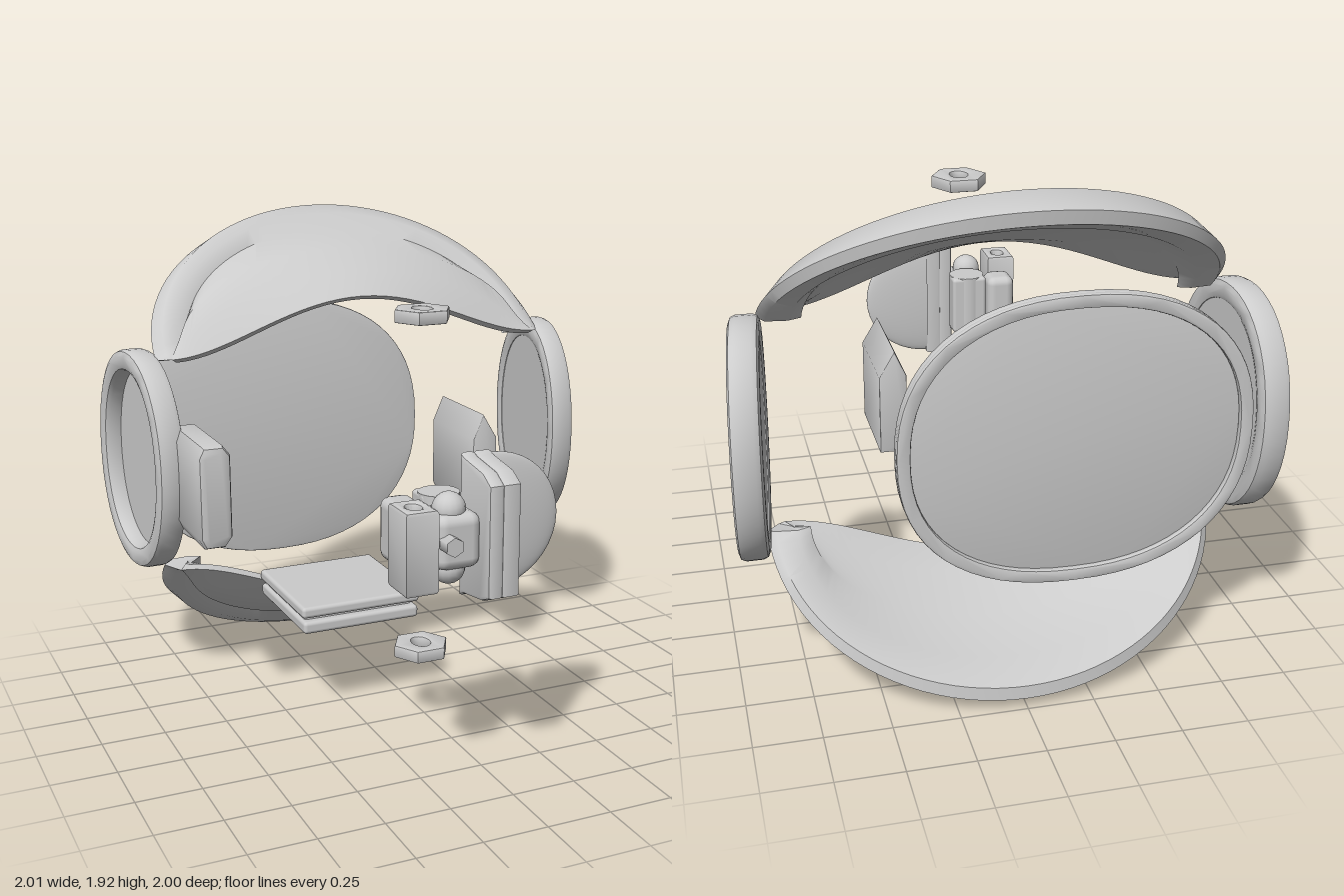
import * as THREE from 'three';
import { toCreasedNormals } from 'three/addons/utils/BufferGeometryUtils.js';
import { RoundedBoxGeometry } from 'three/addons/geometries/RoundedBoxGeometry.js';

const MID = 0.963; // height of the mirror plane between upper and lower shell

export function createModel() {
  const model = new THREE.Group();
  const grey = new THREE.MeshStandardMaterial({ color: 0xcccccc, side: THREE.DoubleSide });

  function add(name, geometry, x = 0, y = 0, z = 0, parent = model) {
    const mesh = new THREE.Mesh(geometry, grey);
    mesh.name = name;
    mesh.position.set(x, y, z);
    parent.add(mesh);
    return mesh;
  }
  const box = (w, h, d, r = 0.015) => new RoundedBoxGeometry(w, h, d, 2, r);

  // Closed superellipse outline
  function oval(rx, ry, n = 2, count = 48) {
    const pts = [];
    for (let i = 0; i < count; i++) {
      const a = (i / count) * Math.PI * 2, c = Math.cos(a), s = Math.sin(a);
      pts.push(new THREE.Vector2(rx * Math.sign(c) * Math.abs(c) ** (2 / n), ry * Math.sign(s) * Math.abs(s) ** (2 / n)));
    }
    return pts;
  }

  // Extrusion with an optional bevel that keeps the outline's size
  function extrude(points, depth, bevel = 0, holes = []) {
    const shape = new THREE.Shape(points);
    holes.forEach((h) => shape.holes.push(new THREE.Path(h)));
    const g = new THREE.ExtrudeGeometry(shape, {
      depth: depth - 2 * bevel, bevelEnabled: bevel > 0, bevelSize: bevel,
      bevelThickness: bevel, bevelOffset: -bevel, bevelSegments: 2,
    });
    g.translate(0, 0, bevel);
    return toCreasedNormals(g, 0.7);
  }

  // Curved shell: a closed section swept from one side to the other
  function shellGeometry() {
    const N = 48, pos = [], idx = [];
    const section = (c, s) => {
      const lip = s ** 4;
      return [
        [0.81 * c, 1.4 + 0.2 * lip, -0.365],
        [0.8 * c, 1.41 + 0.28 * s * s ** 0.8, -0.39 - 0.08 * s],
        [0.76 * c, 1.41 + 0.36 * s, -0.41 - 0.2 * s],
        [0.72 * c, 1.41 + 0.42 * s, -0.43 - 0.37 * s],
        [0.77 * c, 1.42 + 0.475 * s, -0.42 - 0.41 * s],
        [0.82 * c, 1.41 + 0.515 * s, -0.41 - 0.49 * s],
        [0.86 * c, 1.39 + 0.49 * s, -0.43 - 0.57 * s],
        [0.83 * c, 1.38 + 0.45 * s, -0.46 - 0.535 * s],
        [0.75 * c, 1.38 + 0.4 * s, -0.47 - 0.4 * s],
        [0.7 * c, 1.38 + 0.36 * s, -0.45 - 0.19 * s],
        [0.76 * c, 1.385 + 0.24 * s * s ** 0.8, -0.43 - 0.06 * s],
        [0.79 * c, 1.385 + 0.2 * lip, -0.38],
      ];
    };
    const K = 12;
    for (let i = 0; i <= N; i++) {
      const a = (i / N) * Math.PI;
      section(Math.cos(a), Math.max(0, Math.sin(a))).forEach((p) => pos.push(...p));
    }
    for (let i = 0; i < N; i++) for (let k = 0; k < K; k++) {
      const a = i * K + k, b = i * K + ((k + 1) % K);
      idx.push(a, a + K, b, b, a + K, b + K);
    }
    for (let k = 1; k < K - 1; k++) idx.push(0, k, k + 1, N * K, N * K + k + 1, N * K + k);
    const g = new THREE.BufferGeometry();
    g.setAttribute('position', new THREE.Float32BufferAttribute(pos, 3));
    g.setIndex(idx);
    // Turn all faces outward if the sweep came out inside-out
    let volume = 0;
    const v = (i) => new THREE.Vector3(pos[3 * i], pos[3 * i + 1] - MID, pos[3 * i + 2]);
    for (let i = 0; i < idx.length; i += 3) volume += v(idx[i]).dot(v(idx[i + 1]).cross(v(idx[i + 2])));
    if (volume < 0) g.setIndex(idx.reverse());
    return toCreasedNormals(g, 0.9);
  }
  const shell = shellGeometry();
  add('upperShell', shell);
  const lower = add('lowerShell', shell, 0, 2 * MID, 0);
  lower.scale.y = -1;

  // Oval side windows, leaning outward to the back
  function lean(g, side, x) {
    g.rotateY(Math.PI / 2);
    const p = g.attributes.position;
    for (let i = 0; i < p.count; i++) p.setX(i, side * (x + p.getX(i) - 0.12 * p.getZ(i)));
    if (side < 0) for (let i = 0; i < p.count; i += 3) { // restore winding after mirroring
      const b = [p.getX(i + 1), p.getY(i + 1), p.getZ(i + 1)];
      p.setXYZ(i + 1, p.getX(i + 2), p.getY(i + 2), p.getZ(i + 2));
      p.setXYZ(i + 2, ...b);
    }
    return toCreasedNormals(g, 0.7);
  }
  for (const side of [1, -1]) {
    const name = side > 0 ? 'left' : 'right';
    add(name + 'WindowFrame', lean(extrude(oval(0.34, 0.45, 2.1), 0.11, 0.025, [oval(0.265, 0.365, 2.1)]), side, 0.855), 0, 0.97, -0.53);
    add(name + 'WindowPane', lean(extrude(oval(0.3, 0.4, 2.1), 0.03), side, 0.865), 0, 0.97, -0.53);
  }

  // Rear panel with a raised rim on its back
  const rear = new THREE.Group();
  rear.name = 'rearPanel';
  rear.position.set(-0.215, 0.97, -0.81);
  rear.rotation.x = -0.018;
  model.add(rear);
  add('rearPane', extrude(oval(0.655, 0.56, 2.3, 64), 0.03, 0.006), 0, 0, -0.008, rear);
  add('rearRim', extrude(oval(0.655, 0.56, 2.3, 64), 0.03, 0.008, [oval(0.605, 0.51, 2.3, 64)]), 0, 0, -0.03, rear);

  // Platform with a slot along its front
  add('platformTop', box(0.5, 0.045, 0.51), -0.22, 0.4575, -0.115);
  add('platformCore', box(0.46, 0.07, 0.47), -0.22, 0.43, -0.13);
  add('platformBase', box(0.49, 0.05, 0.51), -0.22, 0.395, -0.115);

  // Side pads
  const chamfered = [[-0.04, -0.2], [0.04, -0.2], [0.07, -0.16], [0.07, 0.16], [0.04, 0.2], [-0.04, 0.2], [-0.06, 0.16], [-0.06, -0.16]];
  const vec = (pts) => pts.map((p) => new THREE.Vector2(...p));
  add('rightPad', extrude(vec(chamfered), 0.41, 0.025), -0.79, 0.95, -0.325);
  const peaked = [[0.3, 0.79], [0.32, 0.75], [0.405, 0.75], [0.405, 1.06], [0.345, 1.16], [0.3, 1.06]];
  add('leftPad', extrude(vec(peaked), 0.38, 0.006), 0, 0, -0.31);

  // Hexagonal nuts above and below
  for (const y of [1.605, 0.285]) {
    const nut = extrude(oval(0.112, 0.112, 2, 6), 0.05, 0.006, [oval(0.036, 0.05, 2, 16)]);
    nut.rotateX(-Math.PI / 2);
    add('nut', nut, -0.04, y, 0.3);
  }

  // Control assembly at the front
  const control = new THREE.Group();
  control.name = 'control';
  model.add(control);
  const place = (name, g, x, y, z) => add(name, g, x, y, z, control);

  // Grip: outline in z and y, extruded along x, with three finger recesses
  const gripOutline = vec([[-1, 0.76], [-1, 1.16], [-0.94, 1.195], [-0.8, 1.215], [-0.77, 1.225], [-0.77, 0.7], [-0.8, 0.715], [-0.94, 0.735]]);
  const recesses = [0.82, 0.97, 1.12].map((y) => oval(0.045, 0.05, 2, 20).map((p) => p.add(new THREE.Vector2(-0.915, y))));
  place('gripBack', extrude(gripOutline, 0.06, 0.015).rotateY(Math.PI / 2), -0.115, 0, 0);
  place('gripFace', extrude(gripOutline, 0.07, 0.012, recesses).rotateY(Math.PI / 2), -0.063, 0, 0);
  place('gripRidge', box(0.1, 0.46, 0.035), -0.02, 0.965, 0.815);

  // Thin half-round paddle
  const paddle = new THREE.SphereGeometry(1, 32, 20, Math.PI / 2, Math.PI);
  paddle.scale(0.27, 0.255, 0.03);
  place('paddle', paddle, 0, 0.965, 0.785);

  // Rollers, hub and screw
  place('wideRoller', new THREE.CylinderGeometry(0.075, 0.075, 0.25, 20), -0.17, 0.955, 0.72);
  place('wideRollerBlock', box(0.15, 0.25, 0.1), -0.17, 0.955, 0.7);
  place('narrowRoller', box(0.12, 0.23, 0.13, 0.035), -0.315, 0.955, 0.715);
  place('hub', box(0.17, 0.2, 0.18, 0.04), -0.19, 0.955, 0.85);
  for (const y of [0.85, 1.06]) place('hubLobe', new THREE.SphereGeometry(0.06, 16, 12), -0.2, y, 0.86);
  place('screw', new THREE.CylinderGeometry(0.035, 0.035, 0.06, 6).rotateX(Math.PI / 2), -0.235, 0.96, 0.955);

  // Side block with a vertical bore
  const rect = vec([[-0.06, -0.075], [0.06, -0.075], [0.06, 0.075], [-0.06, 0.075]]);
  const block = extrude(rect, 0.3, 0.015, [oval(0.025, 0.035, 2, 16)]);
  block.rotateX(-Math.PI / 2);
  place('sideBlock', block, -0.36, 0.805, 0.92);
  place('linkPin', new THREE.CylinderGeometry(0.03, 0.03, 0.12, 12).rotateZ(Math.PI / 2), -0.28, 0.96, 0.9);

  return model;
}
